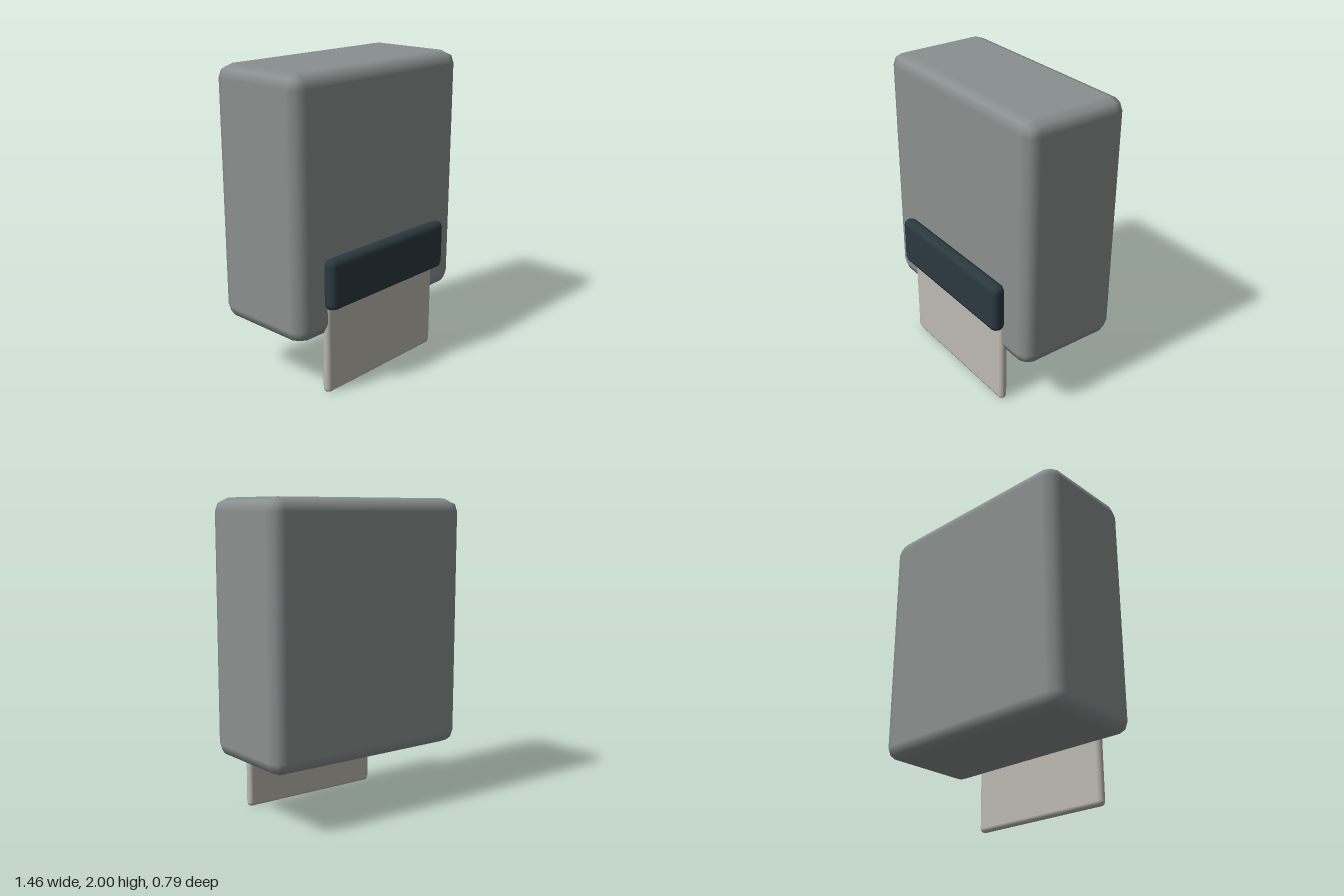
import * as THREE from 'three';
import { RoundedBoxGeometry } from 'three/addons/geometries/RoundedBoxGeometry.js';

// Softly bevelled block given by its [min, max] extent on each axis
function block(name, [x0, x1], [y0, y1], [z0, z1], radius, color) {
  const geometry = new RoundedBoxGeometry(x1 - x0, y1 - y0, z1 - z0, 1, radius);
  const mesh = new THREE.Mesh(geometry, new THREE.MeshStandardMaterial({ color }));
  mesh.name = name;
  mesh.position.set((x0 + x1) / 2, (y0 + y1) / 2, (z0 + z1) / 2);
  return mesh;
}

export function createModel() {
  const group = new THREE.Group();
  group.name = 'towelDispenser';

  // Main housing
  group.add(block('housing', [-0.73, 0.73], [0.385, 2], [-0.393, 0.313], 0.085, 0x8a908f));

  // Dark bar across the lower front, slightly sunk into the housing
  group.add(block('frontBar', [-0.53, 0.53], [0.575, 0.9], [0.3, 0.393], 0.04, 0x2b393f));

  // Paper sheet hanging from behind the bar
  group.add(block('paperSheet', [-0.502, 0.502], [0, 0.62], [0.265, 0.322], 0.027, 0xbcbab0));

  return group;
}
